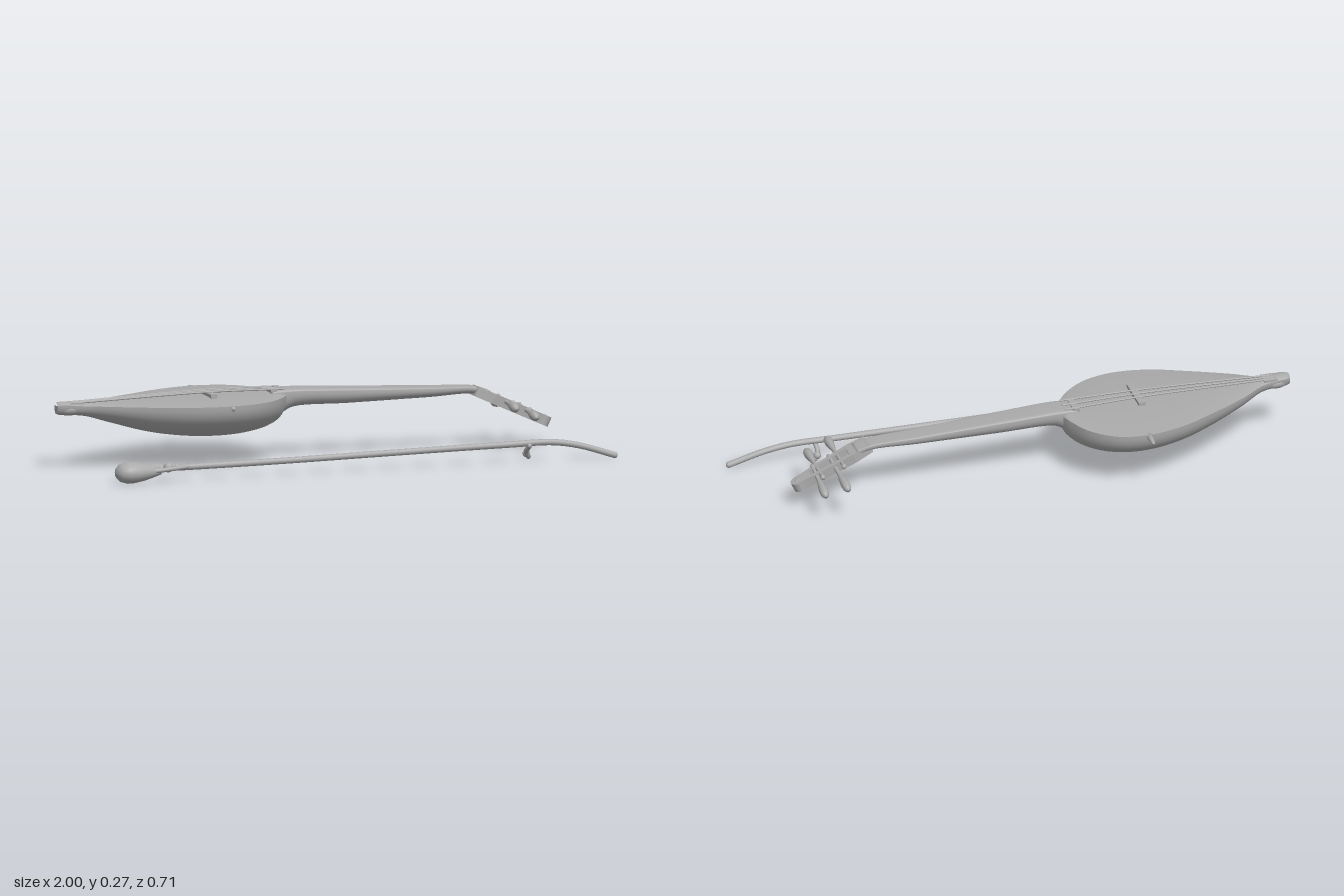
import * as THREE from 'three';

const V = (x, y, z) => new THREE.Vector3(x, y, z);
const wood = new THREE.MeshStandardMaterial({ color: 0xaaaaaa });
wood.name = 'wood';

function add(parent, name, geometry) {
  const mesh = new THREE.Mesh(geometry, wood);
  mesh.name = name;
  parent.add(mesh);
  return mesh;
}

// Smooth station list: each key is [x, zMin, zMax, yTop, yBottom]
function stations(keys, count) {
  const a = new THREE.CatmullRomCurve3(keys.map(k => V(k[0], k[1], k[2])), false, 'centripetal');
  const b = new THREE.CatmullRomCurve3(keys.map(k => V(k[0], k[3], k[4])), false, 'centripetal');
  const rows = [];
  for (let i = 0; i <= count; i++) {
    const p = a.getPoint(i / count), q = b.getPoint(i / count);
    rows.push({ x: p.x, c: (p.y + p.z) / 2, w: (p.z - p.y) / 2, top: q.y, bottom: q.z });
  }
  return rows;
}

// Skins cross-sections; section(row, t) returns [z, y] for t in 0..1
function loft(rows, section, n, closed, capped = true) {
  const pos = [], index = [], cols = closed ? n : n + 1;
  const all = capped ? [rows[0], ...rows, rows[rows.length - 1]] : rows;
  all.forEach((r, i) => {
    const end = capped && (i === 0 || i === all.length - 1);
    for (let j = 0; j < cols; j++) {
      const [z, y] = end ? [r.c, r.top - (r.top - r.bottom) * (closed ? 0.5 : 0)] : section(r, j / n);
      pos.push(r.x, y, z);
    }
  });
  for (let i = 0; i < all.length - 1; i++) {
    for (let j = 0; j < n; j++) {
      const k = closed ? (j + 1) % n : j + 1;
      const a = i * cols + j, c = i * cols + k, b = a + cols, d = c + cols;
      index.push(a, c, b, b, c, d);
    }
  }
  const g = new THREE.BufferGeometry();
  g.setAttribute('position', new THREE.Float32BufferAttribute(pos, 3));
  g.setIndex(index);
  g.computeVertexNormals();
  return g;
}

// Turned part whose profile [radius, distance] runs from point a towards b
function turned(parent, name, profile, a, b, segments = 20) {
  const m = add(parent, name, new THREE.LatheGeometry(profile.map(p => new THREE.Vector2(p[0], p[1])), segments));
  m.position.copy(a);
  m.quaternion.setFromUnitVectors(V(0, 1, 0), b.clone().sub(a).normalize());
  return m;
}

// Round rod with domed ends
function rod(parent, name, points, radius, segments = 16) {
  const g = new THREE.Group();
  g.name = name;
  parent.add(g);
  add(g, name + 'Shaft', new THREE.TubeGeometry(new THREE.CatmullRomCurve3(points), segments, radius, 10));
  for (const p of [points[0], points[points.length - 1]]) {
    add(g, name + 'End', new THREE.SphereGeometry(radius, 10, 8)).position.copy(p);
  }
}

function buildBody(parent) {
  const rows = stations([
    [-1, -0.058, -0.02, 0.238, 0.208], [-0.985, -0.066, -0.012, 0.242, 0.204],
    [-0.9, -0.074, -0.006, 0.236, 0.197], [-0.8, -0.14, 0.045, 0.236, 0.168],
    [-0.66, -0.215, 0.11, 0.236, 0.128], [-0.53, -0.275, 0.16, 0.237, 0.107],
    [-0.4, -0.302, 0.175, 0.238, 0.1], [-0.29, -0.285, 0.15, 0.238, 0.107],
    [-0.2, -0.215, 0.085, 0.238, 0.127], [-0.155, -0.13, 0.025, 0.238, 0.155],
    [-0.138, -0.08, 0, 0.238, 0.19],
  ], 60);
  // Rounded bowl, running from one rim under to the other
  add(parent, 'bowl', loft(rows, (r, t) => {
    const s = Math.sin(t * Math.PI);
    return [r.c + r.w * Math.cos(t * Math.PI), r.top - (r.top - r.bottom) * Math.pow(Math.max(s, 0), 0.9)];
  }, 36, false));
  // Gently domed soundboard
  add(parent, 'soundboard', loft(rows, (r, t) => {
    const u = 2 * t - 1;
    return [r.c + r.w * u, r.top + 0.01 * (1 - u * u)];
  }, 16, false, false));
  // Tail knob, rim spike and rim button
  const knob = add(parent, 'tailKnob', new THREE.SphereGeometry(1, 20, 14));
  knob.scale.set(0.05, 0.024, 0.03);
  knob.position.set(-0.95, 0.224, -0.04);
  turned(parent, 'rimSpike', [[0, 0], [0.011, 0], [0.009, 0.03], [0.006, 0.055], [0, 0.062]],
    V(-0.395, 0.23, -0.293), V(-0.395, 0.226, -0.355), 12);
  add(parent, 'rimButton', new THREE.SphereGeometry(0.009, 12, 8)).position.set(-0.4, 0.228, 0.172);
}

function buildNeck(parent) {
  const rows = stations([
    [-0.2, -0.082, 0.008, 0.256, 0.16], [-0.15, -0.084, 0.01, 0.259, 0.17],
    [-0.11, -0.084, 0.012, 0.259, 0.189], [0.1, -0.077, 0.011, 0.25, 0.192],
    [0.4, -0.068, 0.007, 0.236, 0.197], [0.58, -0.06, 0.006, 0.228, 0.2],
    [0.63, -0.056, 0.008, 0.212, 0.178],
  ], 36);
  // Flat-topped, round-backed section
  add(parent, 'neck', loft(rows, (r, t) => {
    const a = t * 2 * Math.PI, s = Math.sin(a), c = Math.cos(a);
    const h = r.top - r.bottom, mid = r.top - h * 0.3;
    if (s >= 0) return [r.c + r.w * c, mid - h * 0.7 * s];
    const p = v => Math.sign(v) * Math.pow(Math.abs(v), 0.35);
    return [r.c + r.w * p(c), mid - h * 0.3 * p(s)];
  }, 32, true));
}

function buildStrings(parent) {
  // Bridge on two feet
  const bridge = add(parent, 'bridge', new THREE.BoxGeometry(0.026, 0.012, 0.148));
  bridge.position.set(-0.428, 0.255, -0.033);
  for (const z of [-0.095, 0.03]) {
    add(parent, 'bridgeFoot', new THREE.BoxGeometry(0.022, 0.02, 0.022)).position.set(-0.428, 0.247, z);
  }
  // Three strings fan slightly out towards the neck
  for (const k of [-1, 0, 1]) {
    rod(parent, 'string', [V(-0.94, 0.246, -0.042 + k * 0.014), V(-0.43, 0.262, -0.04 + k * 0.026),
      V(-0.15, 0.26, -0.037 + k * 0.034)], 0.0035, 20);
  }
  add(parent, 'stringHolder', new THREE.BoxGeometry(0.05, 0.012, 0.05)).position.set(-0.925, 0.242, -0.042);
  add(parent, 'nut', new THREE.BoxGeometry(0.025, 0.01, 0.085)).position.set(-0.19, 0.256, -0.037);
}

function buildHead(parent) {
  const head = new THREE.Group();
  head.name = 'pegbox';
  head.position.set(0.6, 0.222, -0.019);
  head.rotation.z = -0.43;
  parent.add(head);
  // Tapered outline with a long slot
  const outline = new THREE.Shape();
  outline.moveTo(-0.02, -0.033);
  outline.lineTo(0.05, -0.04);
  outline.lineTo(0.2, -0.03);
  outline.quadraticCurveTo(0.25, -0.022, 0.265, -0.025);
  outline.absarc(0.268, 0, 0.025, -Math.PI / 2, Math.PI / 2, false);
  outline.quadraticCurveTo(0.25, 0.022, 0.2, 0.03);
  outline.lineTo(0.05, 0.04);
  outline.lineTo(-0.02, 0.033);
  outline.closePath();
  const floor = outline.clone();
  const slot = new THREE.Path();
  slot.moveTo(0.06, -0.022);
  slot.lineTo(0.06, 0.022);
  slot.lineTo(0.215, 0.014);
  slot.lineTo(0.215, -0.014);
  slot.closePath();
  outline.holes.push(slot);
  const plate = (name, shape, depth, y) => {
    const g = new THREE.ExtrudeGeometry(shape, { depth, bevelEnabled: false, curveSegments: 10 });
    add(head, name, g.rotateX(-Math.PI / 2)).position.y = y;
  };
  plate('pegboxWalls', outline, 0.026, -0.026);
  plate('pegboxFloor', floor, 0.01, -0.036);
  const tip = add(head, 'headTip', new THREE.SphereGeometry(0.025, 16, 12));
  tip.scale.y = 0.75;
  tip.position.set(0.268, 0, 0).setY(-0.017);

  // Pegs: slim shaft, collar and paddle grip
  const pegs = [
    [V(0.688, 0.176, -0.095), V(0.68, 0.166, 0.15)], [V(0.766, 0.142, -0.09), V(0.757, 0.13, 0.148)],
    [V(0.712, 0.166, 0.025), V(0.704, 0.137, -0.195)], [V(0.775, 0.138, 0.02), V(0.782, 0.113, -0.174)],
  ];
  for (const [a, b] of pegs) {
    const L = a.distanceTo(b);
    const m = turned(parent, 'tuningPeg', [[0, 0], [0.008, 0.002], [0.01, 0.008], [0.008, 0.016], [0.007, 0.03],
      [0.008, L - 0.115], [0.008, L - 0.1], [0.013, L - 0.07], [0.017, L - 0.04], [0.016, L - 0.018],
      [0.01, L - 0.004], [0, L]], a, b);
    m.scale.x = 0.95;
  }
}

function buildBow(parent) {
  const bow = new THREE.Group();
  bow.name = 'bow';
  parent.add(bow);
  // Stick with a drooping tip
  rod(bow, 'bowStick', [V(-0.66, 0.05, 0.306), V(-0.3, 0.053, 0.307), V(0.2, 0.061, 0.306), V(0.6, 0.067, 0.308),
    V(0.76, 0.068, 0.311), V(0.86, 0.052, 0.317), V(0.99, 0.012, 0.329)], 0.0115, 60);
  // Pear-shaped handle
  const grip = turned(bow, 'bowGrip', [[0, 0], [0.022, 0.004], [0.04, 0.018], [0.049, 0.042], [0.048, 0.07],
    [0.04, 0.105], [0.028, 0.14], [0.016, 0.17], [0, 0.18]], V(-0.89, 0.041, 0.306), V(0, 0.041, 0.306), 28);
  grip.scale.x = 0.8;
  // Binding between handle and stick
  for (const k of [-1, 1]) {
    rod(bow, 'bowBinding', [V(-0.76, 0.043, 0.306 + k * 0.018), V(-0.7, 0.048, 0.306 + k * 0.02),
      V(-0.62, 0.052, 0.306 + k * 0.006)], 0.008);
  }
  add(bow, 'bindingKnot', new THREE.SphereGeometry(0.018, 12, 10)).position.set(-0.69, 0.052, 0.304);
  // Small hair peg hanging from the stick
  rod(bow, 'hairPeg', [V(0.672, 0.06, 0.318), V(0.668, 0.036, 0.292), V(0.682, 0.014, 0.275)], 0.009);
  const pegTip = add(bow, 'hairPegTip', new THREE.SphereGeometry(0.014, 12, 10));
  pegTip.position.set(0.674, 0.026, 0.276);
}

export function createModel() {
  const model = new THREE.Group();
  model.name = 'bowedLuteAndBow';
  const lute = new THREE.Group();
  lute.name = 'lute';
  model.add(lute);
  buildBody(lute);
  buildNeck(lute);
  buildStrings(lute);
  buildHead(lute);
  buildBow(model);
  return model;
}
